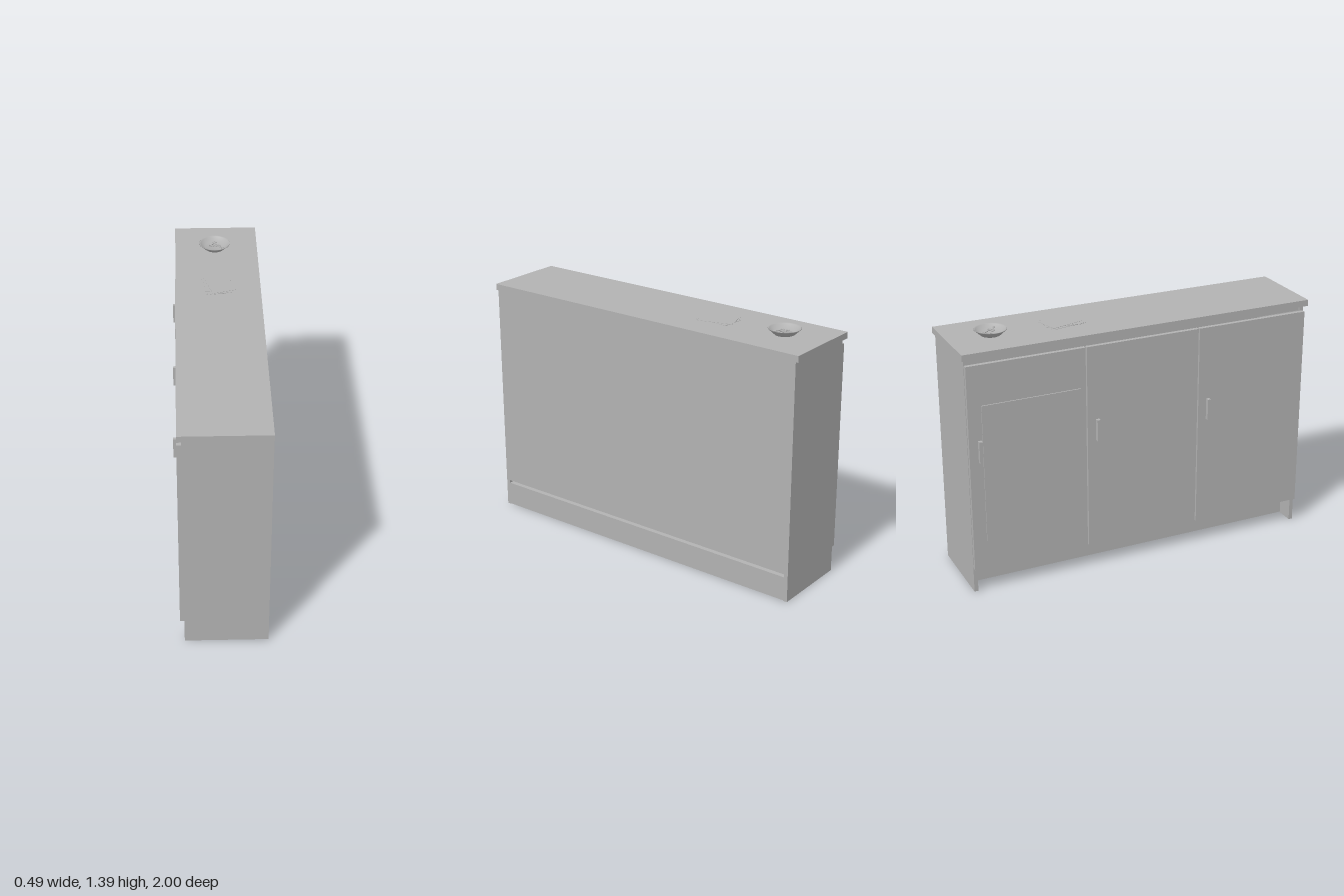
import * as THREE from 'three';

export function createModel() {
  const model = new THREE.Group();
  model.name = 'sideboard';
  const grey = new THREE.MeshStandardMaterial({ color: 0xb2b2b2, side: THREE.DoubleSide });
  grey.name = 'plain grey';

  const add = (name, geometry, parent = model) => {
    const mesh = new THREE.Mesh(geometry, grey);
    mesh.name = name;
    parent.add(mesh);
    return mesh;
  };
  // Box given by its limits on each axis
  const box = (name, x0, x1, y0, y1, z0, z1, parent) => {
    const mesh = add(name, new THREE.BoxGeometry(x1 - x0, y1 - y0, z1 - z0), parent);
    mesh.position.set((x0 + x1) / 2, (y0 + y1) / 2, (z0 + z1) / 2);
    return mesh;
  };

  // Carcass: worktop, end panels, back panel above a narrow slit, recessed plinth
  box('worktop', -0.223, 0.24, 1.32, 1.355, -1, 1);
  for (const s of [-1, 1]) {
    box('endPanel', -0.2, 0.24, 0, 1.32, Math.min(s * 0.963, s * 0.985), Math.max(s * 0.963, s * 0.985));
  }
  box('backPanel', 0.22, 0.24, 0.155, 1.32, -0.963, 0.963);
  box('plinth', -0.1, 0.24, 0.003, 0.138, -0.963, 0.963);
  box('topRail', -0.19, 0.22, 1.29, 1.32, -0.963, 0.963);

  // Three doors, each with an upright handle
  for (let i = 0; i < 3; i++) {
    const z = -0.983 + i * 0.657;
    const door = new THREE.Group();
    door.name = 'door';
    model.add(door);
    box('doorLeaf', -0.223, -0.2, 0.14, 1.29, z, z + 0.65, door);
    box('handle', -0.245, -0.223, 0.76, 0.88, z + 0.048, z + 0.066, door);
    if (i === 0) box('doorInset', -0.23, -0.223, 0.3, 1.07, -0.91, -0.365, door);
  }

  // Shallow dish
  const dish = new THREE.Group();
  dish.name = 'dish';
  dish.position.set(0, 1.355, -0.765);
  model.add(dish);
  const profile = [[0, 0.001], [0.052, 0.001], [0.058, 0.006], [0.086, 0.032], [0.084, 0.034],
    [0.078, 0.031], [0.053, 0.011], [0, 0.009]].map(([r, y]) => new THREE.Vector2(r, y));
  add('bowl', new THREE.LatheGeometry(profile, 32), dish);

  // Keys lying in the dish: ring bow, shaft and two teeth
  [[-0.012, -0.02, 1.0], [0.012, -0.012, 2.3], [0.02, 0.02, -0.4]].forEach(([x, z, turn], i) => {
    const key = new THREE.Group();
    key.name = 'key';
    key.position.set(x, 0.013 + i * 0.004, z);
    key.rotation.y = turn;
    dish.add(key);
    add('keyBow', new THREE.TorusGeometry(0.01, 0.0025, 6, 14).rotateX(Math.PI / 2), key).position.x = -0.02;
    box('keyShaft', -0.01, 0.035, -0.002, 0.002, -0.003, 0.003, key);
    for (const t of [0.02, 0.03]) box('keyTooth', t, t + 0.005, -0.002, 0.002, 0.003, 0.01, key);
  });

  // Loose pile of sheets
  const papers = new THREE.Group();
  papers.name = 'papers';
  model.add(papers);
  [[0.005, -0.36, 0.04], [0.0, -0.358, 0.2], [0.012, -0.372, -0.1], [0.015, -0.37, 0.28]].forEach(([x, z, turn], i) => {
    const sheet = add('sheet', new THREE.BoxGeometry(0.13, 0.0014, 0.19), papers);
    sheet.position.set(x, 1.3565 + i * 0.0018, z);
    sheet.rotation.y = turn;
  });

  return model;
}
